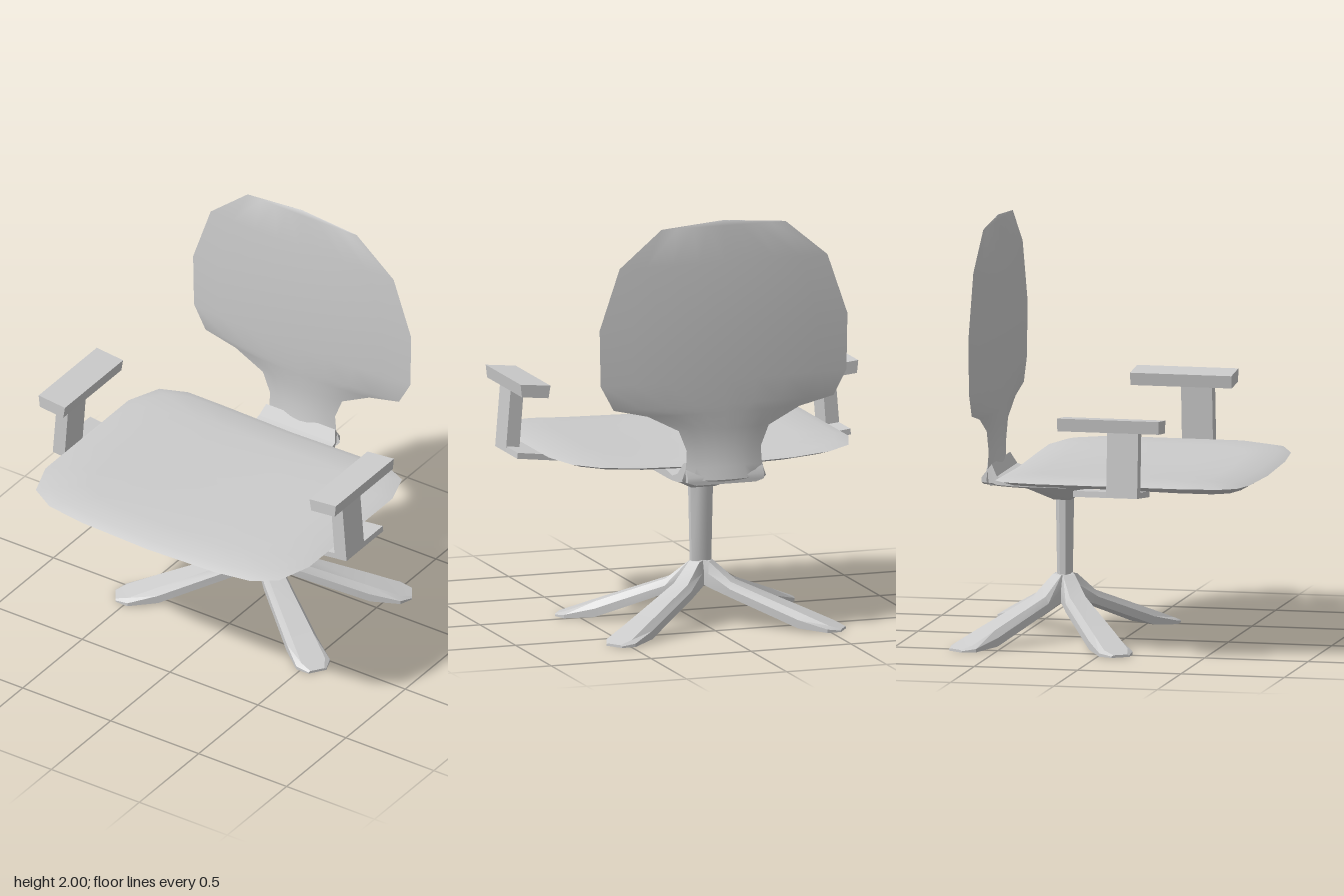
import * as THREE from 'three';
import { toCreasedNormals } from 'three/addons/utils/BufferGeometryUtils.js';

const material = new THREE.MeshStandardMaterial({ color: 0xcccccc, side: THREE.DoubleSide });
const HUB_Z = -0.29;

// Skin a closed solid over rings of equal point count; caps fan to the ring centres.
function loft(rings, crease = 0.6) {
  const n = rings[0].length, pos = [], index = [];
  rings.forEach((ring) => ring.forEach((p) => pos.push(...p)));
  for (let r = 0; r < rings.length - 1; r++) {
    for (let i = 0; i < n; i++) {
      const a = r * n + i, b = r * n + (i + 1) % n;
      index.push(a, b, b + n, a, b + n, a + n);
    }
  }
  [0, rings.length - 1].forEach((r) => {
    const centre = pos.length / 3;
    pos.push(...[0, 1, 2].map((k) => rings[r].reduce((s, p) => s + p[k], 0) / n));
    for (let i = 0; i < n; i++) {
      const a = r * n + i, b = r * n + (i + 1) % n;
      index.push(...(r === 0 ? [centre, b, a] : [centre, a, b]));
    }
  });
  // Turn the faces outward if the signed volume is negative
  const v = (i) => new THREE.Vector3().fromArray(pos, i * 3);
  let volume = 0;
  for (let i = 0; i < index.length; i += 3) {
    volume += v(index[i]).dot(v(index[i + 1]).cross(v(index[i + 2])));
  }
  if (volume < 0) index.reverse();
  const g = new THREE.BufferGeometry();
  g.setAttribute('position', new THREE.Float32BufferAttribute(pos, 3));
  g.setIndex(index);
  return toCreasedNormals(g, crease);
}

function add(parent, name, geometry) {
  const mesh = new THREE.Mesh(geometry, material);
  mesh.name = name;
  parent.add(mesh);
  return mesh;
}

// Cushion: scaled copies of one outline, bulging above and below a curved rim
function seatGeometry() {
  const quarter = [[0.75, 0.1], [0.75, 0.35], [0.69, 0.52], [0.57, 0.585], [0.38, 0.6], [0, 0.603]];
  const flipX = quarter.slice(0, -1).reverse().map(([x, z]) => [-x, z]);
  const half = [...quarter, ...flipX];
  const outline = [...half, ...half.map(([x, z]) => [-x, -z])];
  const layer = (s, lift) => outline.map(([x, z]) => {
    const px = x * s, pz = z * s;
    const sag = lift < 0 ? 0.012 * Math.max(0, pz / 0.6) : 0;
    return [px, 0.8 + 0.04 * (px / 0.75) ** 2 + lift - sag, pz + 0.088];
  });
  return loft([
    layer(0.02, -0.03), layer(0.4, -0.029), layer(0.7, -0.025), layer(0.92, -0.016),
    layer(1, 0), layer(0.92, 0.02), layer(0.7, 0.031), layer(0.4, 0.035), layer(0.02, 0.035),
  ], 1.0);
}

// Backrest and neck: lens-shaped slices [height, half width, centre z, half thickness]
function backGeometry() {
  const slices = [
    [0.735, 0.19, -0.605, 0.025], [0.76, 0.21, -0.622, 0.042], [0.82, 0.19, -0.62, 0.03],
    [0.9, 0.185, -0.617, 0.015], [1.0, 0.225, -0.617, 0.018], [1.08, 0.38, -0.616, 0.024],
    [1.12, 0.55, -0.615, 0.027], [1.24, 0.615, -0.614, 0.032], [1.51, 0.62, -0.614, 0.037],
    [1.8, 0.52, -0.614, 0.022], [1.975, 0.31, -0.614, 0.005], [2.0, 0.01, -0.614, 0.001],
  ];
  const steps = 8;
  return loft(slices.map(([y, w, c, t]) => {
    const ring = [];
    for (let i = 0; i < steps * 2; i++) {
      const u = i < steps ? 1 - 2 * i / steps : -1 + 2 * (i - steps) / steps;
      ring.push([u * w, y, c + (i < steps ? 1 : -1) * t * (1 - u * u)]);
    }
    return ring;
  }), 1.0);
}

// Under-seat bracket: slices [z, top half width, keel half width, top y, side y, keel y]
function bracketGeometry() {
  const slices = [
    [-0.13, 0.11, 0.06, 0.785, 0.745, 0.73], [-0.17, 0.18, 0.07, 0.787, 0.742, 0.71],
    [-0.25, 0.22, 0.06, 0.787, 0.74, 0.66], [-0.33, 0.22, 0.06, 0.785, 0.74, 0.66],
    [-0.44, 0.22, 0.12, 0.775, 0.74, 0.718], [-0.51, 0.22, 0.14, 0.765, 0.742, 0.724],
    [-0.57, 0.215, 0.15, 0.785, 0.745, 0.729], [-0.6, 0.195, 0.15, 0.84, 0.75, 0.732],
    [-0.65, 0.19, 0.15, 0.775, 0.752, 0.738],
  ];
  return loft(slices.map(([z, w, k, top, side, keel]) => [
    [-w, top, z], [w, top, z], [w, side, z], [k, keel, z], [-k, keel, z], [-w, side, z],
  ]), 0.7);
}

// Splayed foot: slices [distance out, half width, top half width, bottom y, top y]
function legGeometry(sx, sz) {
  const dx = 0.82, dz = 0.57;
  const slices = [
    [0, 0.035, 0.03, 0.2, 0.31], [0.05, 0.045, 0.03, 0.18, 0.3], [0.16, 0.06, 0.04, 0.14, 0.21],
    [0.5, 0.078, 0.055, 0.012, 0.085], [0.645, 0.085, 0.06, 0, 0.03], [0.7, 0.045, 0.035, 0, 0.012],
  ];
  return loft(slices.map(([r, w, t, low, high]) => {
    const mid = low + (high - low) * 0.55;
    return [[-w, low], [w, low], [w, mid], [t, high], [-t, high], [-w, mid]].map(([p, y]) =>
      [sx * (r * dx - p * dz), y, HUB_Z + sz * (r * dz + p * dx)]);
  }), 0.4);
}

// Flat side profile pushed out between two z values
function slab(points, side, z0, z1) {
  const shape = new THREE.Shape(points.map(([x, y]) => new THREE.Vector2(side * x, y)));
  return new THREE.ExtrudeGeometry(shape, { depth: z1 - z0, bevelEnabled: false }).translate(0, 0, z0);
}

export function createModel() {
  const chair = new THREE.Group();
  chair.name = 'swivelChair';

  add(chair, 'seat', seatGeometry());
  add(chair, 'backrest', backGeometry());
  add(chair, 'seatBracket', bracketGeometry());

  // Column, slimmer front to back
  const column = new THREE.CylinderGeometry(0.062, 0.053, 0.4, 8);
  column.rotateY(Math.PI / 8).scale(1, 1, 0.68).translate(0, 0.49, HUB_Z);
  add(chair, 'column', toCreasedNormals(column, 0.6));

  // Four-legged base
  const base = new THREE.Group();
  base.name = 'base';
  chair.add(base);
  for (const [sx, sz, name] of [[1, 1, 'frontLeftLeg'], [-1, 1, 'frontRightLeg'],
    [1, -1, 'backLeftLeg'], [-1, -1, 'backRightLeg']]) {
    add(base, name, legGeometry(sx, sz));
  }

  // Armrests: plate under the seat, upright post and tilted pad
  for (const [side, name] of [[1, 'leftArmrest'], [-1, 'rightArmrest']]) {
    const arm = new THREE.Group();
    arm.name = name;
    add(arm, 'armPlate', slab([[0.575, 0.77], [0.835, 0.8], [0.832, 0.828], [0.575, 0.798]], side, -0.06, 0.25));
    add(arm, 'armPost', slab([[0.768, 0.8], [0.835, 0.802], [0.81, 1.11], [0.745, 1.105]], side, 0.1, 0.25));
    add(arm, 'armPad', slab([[0.705, 1.11], [0.838, 1.097], [0.845, 1.157], [0.695, 1.172]]
      .map(([x, y]) => [x, y + (x - 0.77) * 0.2]), side, -0.135, 0.355));
    chair.add(arm);
  }
  return chair;
}
